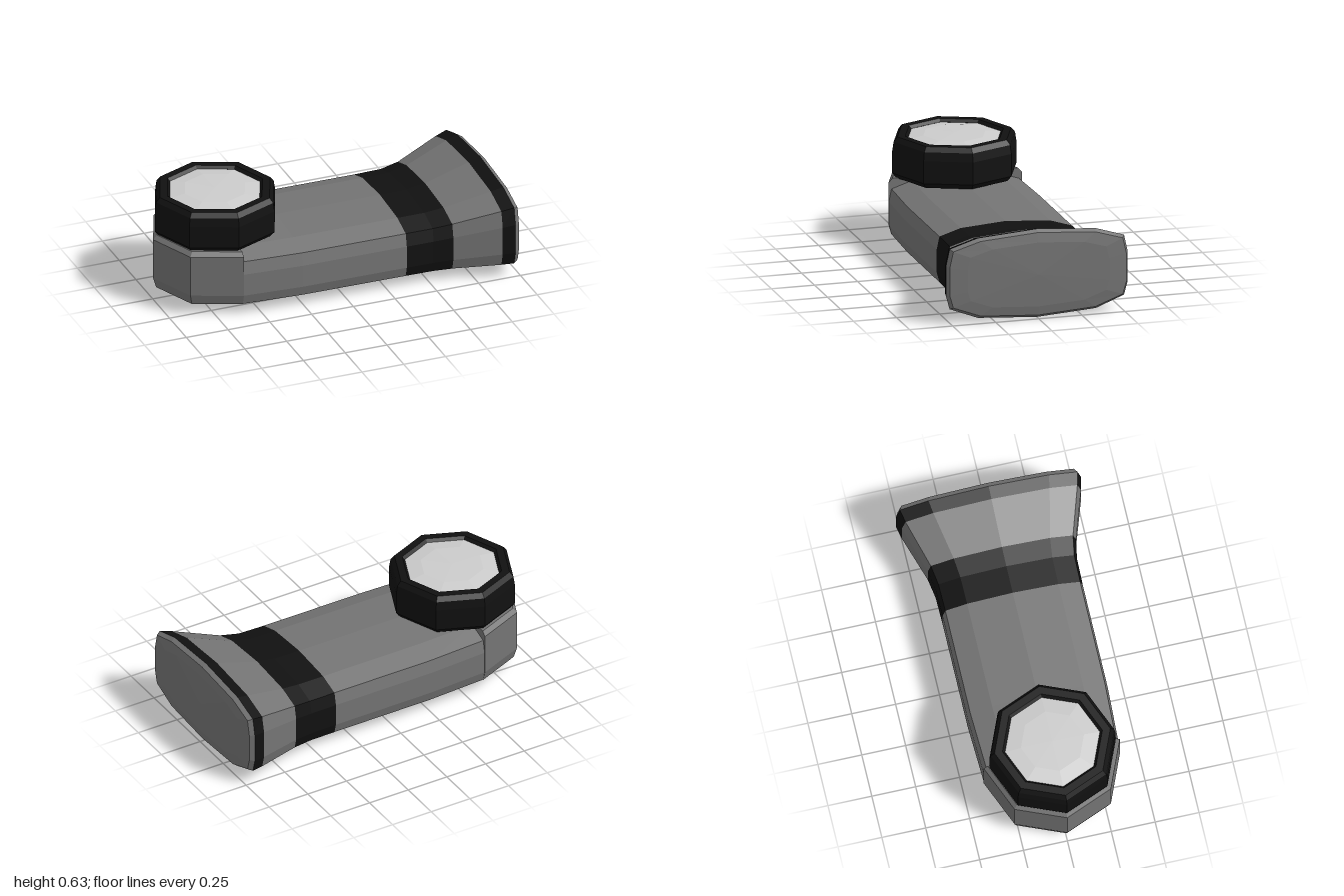
import * as THREE from 'three';

const GREY = 0x747474, BLACK = 0x111111, PALE = 0xcccccc;

function mesh(name, geometry, color) {
  const m = new THREE.Mesh(geometry, new THREE.MeshStandardMaterial({
    color, flatShading: true, side: THREE.DoubleSide,
  }));
  m.name = name;
  return m;
}

// Half cross-section as [width fraction, height fraction], top to bottom
const HALF = [[0, 1], [0.65, 0.95], [0.96, 0.85], [1, 0.66], [1, 0.32], [0.96, 0.17], [0.65, 0.045], [0, 0]];
const RING = [...HALF, ...HALF.slice(1, -1).reverse().map(([w, h]) => [-w, h])];

// Loft through sections [x, half width, bottom, top]
function loft(sections) {
  const pos = [], index = [], n = RING.length;
  sections.forEach(([x, w, y0, y1], i) => {
    RING.forEach(([u, v], j) => {
      pos.push(x, y0 + (y1 - y0) * v, w * u);
      if (i === sections.length - 1) return;
      const a = i * n + j, b = i * n + (j + 1) % n;
      index.push(a, b, a + n, b, b + n, a + n);
    });
  });
  const g = new THREE.BufferGeometry();
  g.setAttribute('position', new THREE.Float32BufferAttribute(pos, 3));
  g.setIndex(index);
  g.computeVertexNormals();
  return g;
}

const profile = (pts) => pts.map(([r, y]) => new THREE.Vector2(r, y));

export function createModel() {
  const group = new THREE.Group();

  // Handle, grip band, flared foot, foot band and end cap share their border sections
  const start = [-0.61, 0.385, 0.006, 0.392];
  const bandA = [0.36, 0.4, 0, 0.388], bandB = [0.63, 0.422, 0, 0.408];
  const footA = [0.89, 0.51, 0, 0.49], footB = [0.96, 0.527, 0, 0.51];
  group.add(
    mesh('handle', loft([start, [-0.26, 0.4, 0.002, 0.388], bandA]), GREY),
    mesh('gripBand', loft([bandA, [0.52, 0.403, 0, 0.39], bandB]), BLACK),
    mesh('flare', loft([bandB, footA]), GREY),
    mesh('footBand', loft([footA, footB]), BLACK),
    mesh('endCap', loft([footB, [0.986, 0.512, 0.018, 0.495], [0.995, 0.41, 0.07, 0.44], [1, 0, 0.255, 0.255]]), GREY),
  );

  // Rounded nose: half of an octagonal turning
  const nosePts = profile([[0, 0.006], [0.25, 0.023], [0.37, 0.07], [0.388, 0.13], [0.388, 0.37], [0.365, 0.395], [0, 0.397]]);
  const nose = mesh('nose', new THREE.LatheGeometry(nosePts, 4, Math.PI, Math.PI), GREY);
  nose.position.x = -0.61;
  group.add(nose);

  // Flat step where the nose meets the handle
  const outline = [...nosePts, ...nosePts.slice(1, -1).reverse().map((p) => new THREE.Vector2(-p.x, p.y))];
  const step = mesh('noseStep', new THREE.ShapeGeometry(new THREE.Shape(outline)), GREY);
  step.rotation.y = Math.PI / 2;
  step.position.x = -0.61;
  group.add(step);

  // Octagonal head with a bevelled rim and a shallow inset lens
  const head = new THREE.Group();
  head.name = 'head';
  head.position.x = -0.628;
  head.add(
    mesh('headRim', new THREE.LatheGeometry(profile([
      [0, 0.39], [0.335, 0.39], [0.36, 0.42], [0.36, 0.55], [0.352, 0.6], [0.33, 0.627], [0.285, 0.627], [0.27, 0.61],
    ]), 8), BLACK),
    mesh('lens', new THREE.LatheGeometry(profile([[0.272, 0.609], [0.18, 0.622], [0, 0.626]]), 8), PALE),
  );
  group.add(head);

  return group;
}
